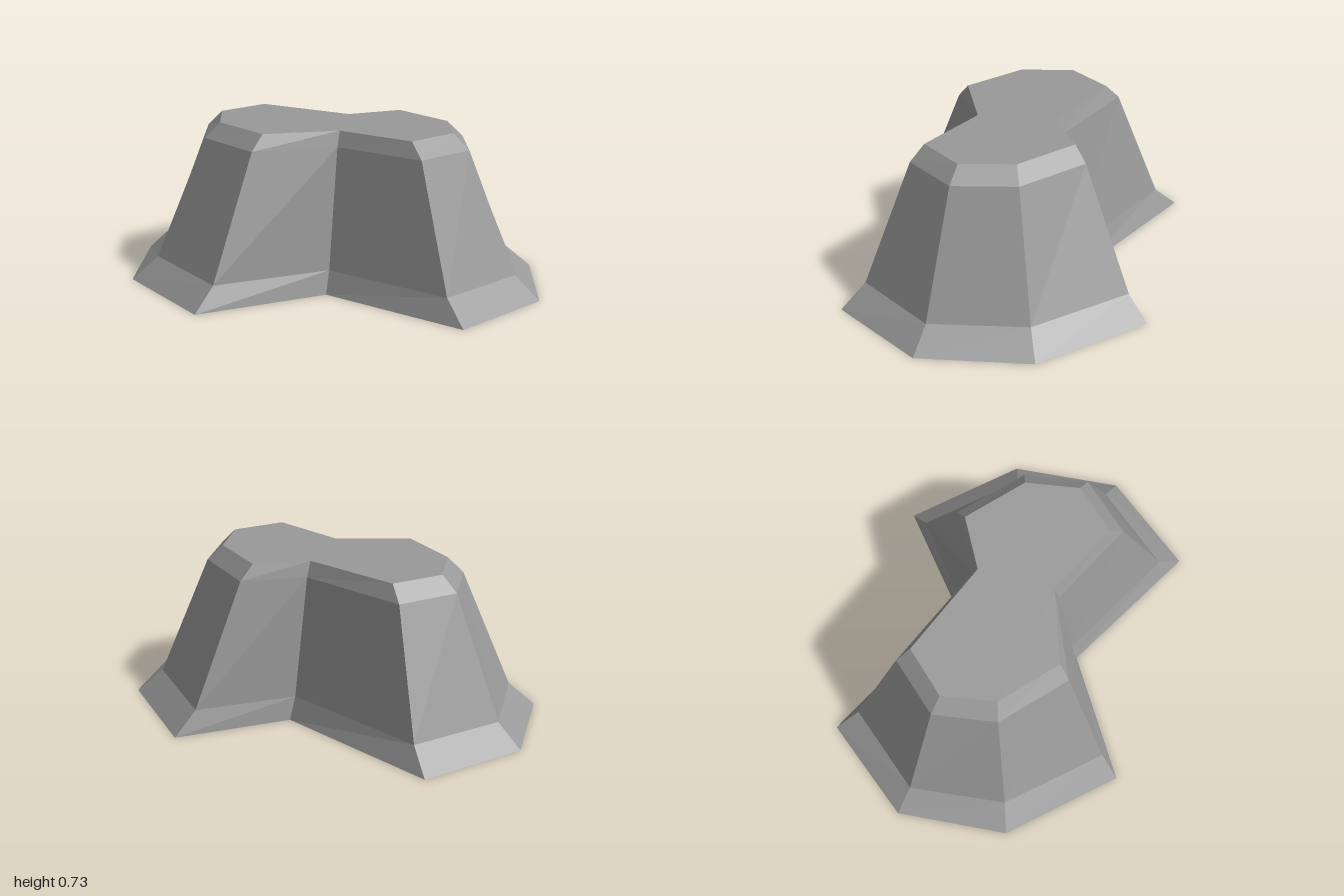
import * as THREE from 'three';

// Horizontal rings of the mound, [x, z], from the ground up
const RINGS = [
  { y: 0, pts: [[-1, 0], [-0.81, -0.48], [0.01, -0.33], [0.31, -0.78], [0.81, -0.48],
    [1, 0], [0.81, 0.48], [0.10, 0.31], [-0.31, 0.78], [-0.81, 0.48]] },
  { y: 0.105, pts: [[-0.885, 0], [-0.71, -0.41], [0.005, -0.295], [0.275, -0.675], [0.71, -0.41],
    [0.885, 0], [0.71, 0.41], [0.10, 0.275], [-0.275, 0.675], [-0.71, 0.41]] },
  { y: 0.655, pts: [[-0.655, 0], [-0.53, -0.265], [0, -0.205], [0.205, -0.425], [0.53, -0.265],
    [0.655, 0], [0.53, 0.265], [0.10, 0.185], [-0.205, 0.425], [-0.53, 0.265]] },
  { y: 0.725, pts: [[-0.58, 0], [-0.47, -0.225], [0, -0.178], [0.182, -0.363], [0.47, -0.225],
    [0.58, 0], [0.47, 0.225], [0.10, 0.16], [-0.182, 0.363], [-0.47, 0.225]] },
];

// Band of flat faces joining two rings
function band(lower, upper) {
  const pos = [];
  const n = lower.pts.length;
  const at = (ring, i) => [ring.pts[i % n][0], ring.y, ring.pts[i % n][1]];
  for (let i = 0; i < n; i++) {
    const a = at(lower, i), b = at(lower, i + 1), c = at(upper, i + 1), d = at(upper, i);
    pos.push(...b, ...a, ...d, ...b, ...d, ...c);
  }
  const geo = new THREE.BufferGeometry();
  geo.setAttribute('position', new THREE.Float32BufferAttribute(pos, 3));
  geo.computeVertexNormals();
  return geo;
}

// Flat cap filling a ring, facing up (1) or down (-1)
function cap(ring, facing) {
  const shape = new THREE.Shape(ring.pts.map(([x, z]) => new THREE.Vector2(x, -facing * z)));
  return new THREE.ShapeGeometry(shape).rotateX(-facing * Math.PI / 2).translate(0, ring.y, 0);
}

export function createModel() {
  const model = new THREE.Group();
  model.name = 'rockMound';
  const stone = new THREE.MeshStandardMaterial({ color: 0x999999 });
  stone.name = 'stone grey';

  const add = (name, geo) => {
    const mesh = new THREE.Mesh(geo, stone);
    mesh.name = name;
    model.add(mesh);
  };

  // Flared foot, steep walls and bevelled rim
  ['foot', 'walls', 'rim'].forEach((name, i) => add(name, band(RINGS[i], RINGS[i + 1])));
  // Level top and underside
  add('plateau', cap(RINGS[3], 1));
  add('underside', cap(RINGS[0], -1));
  return model;
}
